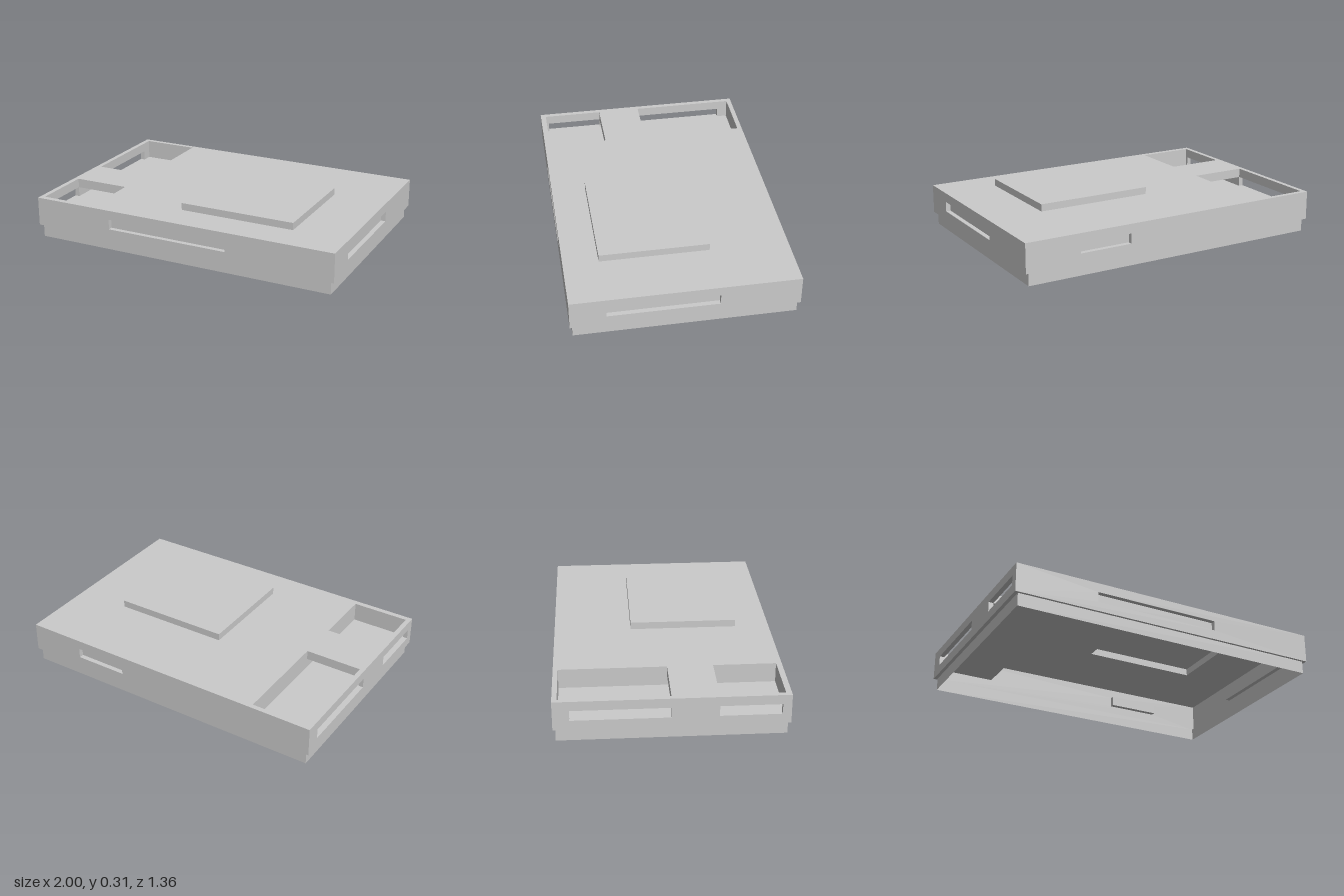
import * as THREE from 'three';

const material = new THREE.MeshStandardMaterial({ color: 0xcccccc, side: THREE.DoubleSide, flatShading: true });

// Flat panel across an axis; rect and holes are [u0, u1, v0, v1].
// Axis x: u = z, v = y.  Axis y: u = x, v = z.  Axis z: u = x, v = y.
function panel(axis, at, facing, rect, holes = []) {
  const corners = ([a, b, c, d]) => [[a, c], [b, c], [b, d], [a, d]].map(p => new THREE.Vector2(...p));
  const shape = new THREE.Shape(corners(rect));
  for (const h of holes) shape.holes.push(new THREE.Path(corners(h).reverse()));
  const geo = new THREE.ShapeGeometry(shape);
  const pos = geo.attributes.position;
  for (let i = 0; i < pos.count; i++) {
    const u = pos.getX(i), v = pos.getY(i);
    if (axis === 'x') pos.setXYZ(i, at, v, u);
    else if (axis === 'y') pos.setXYZ(i, u, at, v);
    else pos.setXYZ(i, u, v, at);
  }
  const natural = axis === 'z' ? 1 : -1;
  if (natural !== facing) geo.index.array.reverse();
  geo.computeVertexNormals();
  return new THREE.Mesh(geo, material);
}

// Chosen faces of a box, e.g. ['x+', 'y-']; dir = -1 turns them inward
function boxFaces([x0, x1, y0, y1, z0, z1], faces, dir = 1) {
  const spec = {
    x: [x0, x1, [z0, z1, y0, y1]],
    y: [y0, y1, [x0, x1, z0, z1]],
    z: [z0, z1, [x0, x1, y0, y1]],
  };
  return faces.map(f => {
    const [lo, hi, rect] = spec[f[0]];
    const s = f[1] === '+' ? 1 : -1;
    return panel(f[0], s > 0 ? hi : lo, s * dir, rect);
  });
}

export function createModel() {
  const model = new THREE.Group();
  const add = (name, meshes) => {
    const g = new THREE.Group();
    g.name = name;
    meshes.forEach((m, i) => { m.name = name + 'Panel' + (i + 1); g.add(m); });
    model.add(g);
  };

  const X = 1, Z = 0.682, bottom = 0.08, top = 0.262;   // body
  const lipX = 0.978, lipZ = 0.667;                     // lower lip
  const s0 = 0.14, s1 = 0.203, depth = 0.03;            // slot heights and depth
  const px0 = -0.97, px1 = -0.61;                       // pocket sides
  const pad = [-0.085, 0.655, -0.2, 0.468];
  const frontSlot = [-0.48, 0.315], backSlot = [0.315, 0.65], sideSlot = [-0.2, 0.468];
  // Each pocket's z range, its side window, and which end meets the passage
  const pockets = [
    { z: [-0.652, -0.005], win: [-0.585, -0.005], inner: '+' },
    { z: [0.27, 0.648], win: [0.27, 0.63], inner: '-' },
  ];

  // Thin body shell with openings
  add('topCover', [panel('y', top, 1, [-X, X, -Z, Z],
    [pad, ...pockets.map(p => [px0, px1, ...p.z])])]);
  add('frontWall', [panel('z', Z, 1, [-X, X, bottom, top], [[...frontSlot, s0, s1]])]);
  add('backWall', [panel('z', -Z, -1, [-X, X, bottom, top], [[...backSlot, s0, s1]])]);
  add('leftWall', [panel('x', X, 1, [-Z, Z, bottom, top], [[...sideSlot, s0, s1]])]);
  add('rightWall', [panel('x', -X, -1, [-Z, Z, bottom, top], pockets.map(p => [...p.win, s0, s1]))]);

  // Step and inset lip, open underneath
  add('bottomStep', [panel('y', bottom, -1, [-X, X, -Z, Z], [[-lipX, lipX, -lipZ, lipZ]])]);
  add('lowerLip', boxFaces([-lipX, lipX, 0, bottom, -lipZ, lipZ], ['x+', 'x-', 'z+', 'z-']));

  // Raised hollow pad
  add('raisedPad', boxFaces([pad[0], pad[1], top, 0.307, pad[2], pad[3]], ['x+', 'x-', 'z+', 'z-', 'y+']));

  // Blind slots in the front, back and left walls
  add('frontSlot', boxFaces([...frontSlot, s0, s1, Z - depth, Z], ['x+', 'x-', 'y+', 'y-', 'z-'], -1));
  add('backSlot', boxFaces([...backSlot, s0, s1, -Z, -Z + depth], ['x+', 'x-', 'y+', 'y-', 'z+'], -1));
  add('leftSlot', boxFaces([X - depth, X, s0, s1, ...sideSlot], ['z+', 'z-', 'y+', 'y-', 'x-'], -1));

  // Pockets, each with a window through the right wall
  pockets.forEach(({ z, win, inner }, i) => {
    const outer = inner === '+' ? '-' : '+';
    const jamb = inner === '+' ? [z[0], win[0]] : [win[1], z[1]];
    add(i ? 'smallPocket' : 'largePocket', [
      ...boxFaces([px0, px1, s0, top, ...z], ['y-', 'x+', 'z' + outer], -1),
      ...boxFaces([px0, px1, s1, top, ...z], ['x-', 'z' + inner], -1),
      panel('x', px0, 1, [...jamb, s0, s1]),
    ]);
    add(i ? 'smallWindow' : 'largeWindow',
      boxFaces([-X, px0, s0, s1, ...win], ['y+', 'y-', 'z+', 'z-'], -1));
  });

  // Low passage joining the two pockets
  add('pocketPassage', boxFaces([px0, px1, s0, s1, pockets[0].z[1], pockets[1].z[0]],
    ['x+', 'x-', 'y+', 'y-'], -1));

  return model;
}
